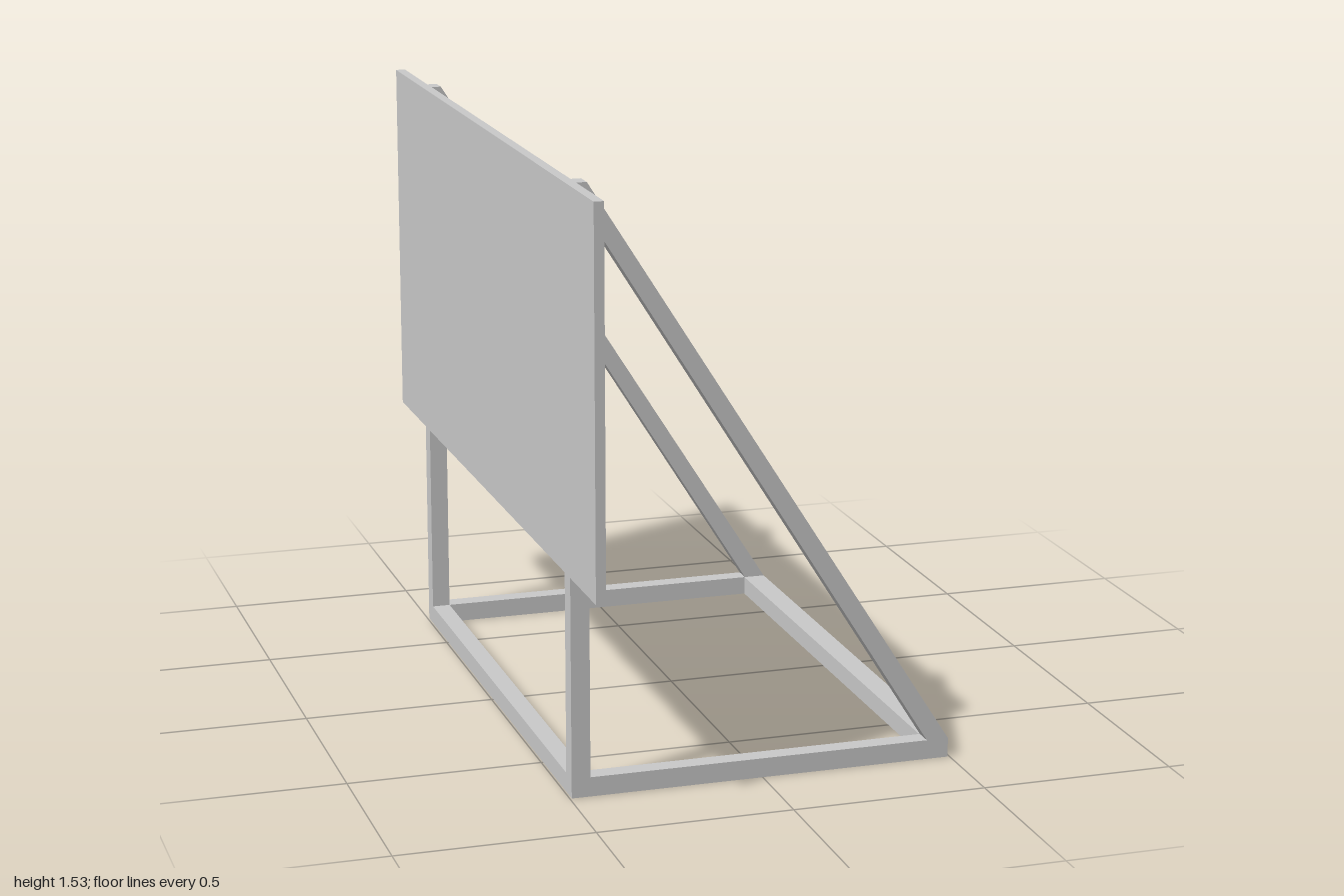
import * as THREE from 'three';

const material = new THREE.MeshStandardMaterial({ color: 0xcccccc, flatShading: true });

// Box given by its lower and upper corners
function box(name, [x0, y0, z0], [x1, y1, z1]) {
  const mesh = new THREE.Mesh(new THREE.BoxGeometry(x1 - x0, y1 - y0, z1 - z0), material);
  mesh.position.set((x0 + x1) / 2, (y0 + y1) / 2, (z0 + z1) / 2);
  mesh.name = name;
  return mesh;
}

const points = (list) => list.map(([x, y]) => new THREE.Vector2(x, y));

export function createModel() {
  const group = new THREE.Group();
  group.name = 'boardStand';

  const top = 1.535, bar = 0.05, boardBottom = 0.57;
  const back = -0.495, boardFace = -0.473, postFace = -0.447, front = 0.495;
  const thickness = 0.049, leftZ = 0.717, rightZ = -0.728;

  // Triangular side frame: post, foot and brace, notched to seat the board
  const outline = new THREE.Shape(points([
    [back, 0], [front, 0], [front, bar], [postFace, top],
    [boardFace, top], [boardFace, boardBottom], [back, boardBottom],
  ]));
  outline.holes.push(new THREE.Path(points([[postFace, bar], [postFace, 1.457], [0.438, bar]])));
  const frameGeometry = new THREE.ExtrudeGeometry(outline, { depth: thickness, bevelEnabled: false });
  for (const [name, z] of [['leftFrame', leftZ], ['rightFrame', rightZ]]) {
    const frame = new THREE.Mesh(frameGeometry, material);
    frame.name = name;
    frame.position.z = z;
    group.add(frame);
  }

  // Floor bars joining the two frames
  const z0 = rightZ + thickness;
  group.add(box('backCrossbar', [back, 0, z0], [postFace, bar, leftZ]));
  group.add(box('frontCrossbar', [0.436, 0, z0], [front, bar, leftZ]));

  // Upright board
  group.add(box('board', [-0.498, boardBottom, -1], [boardFace, top, 1]));
  return group;
}
